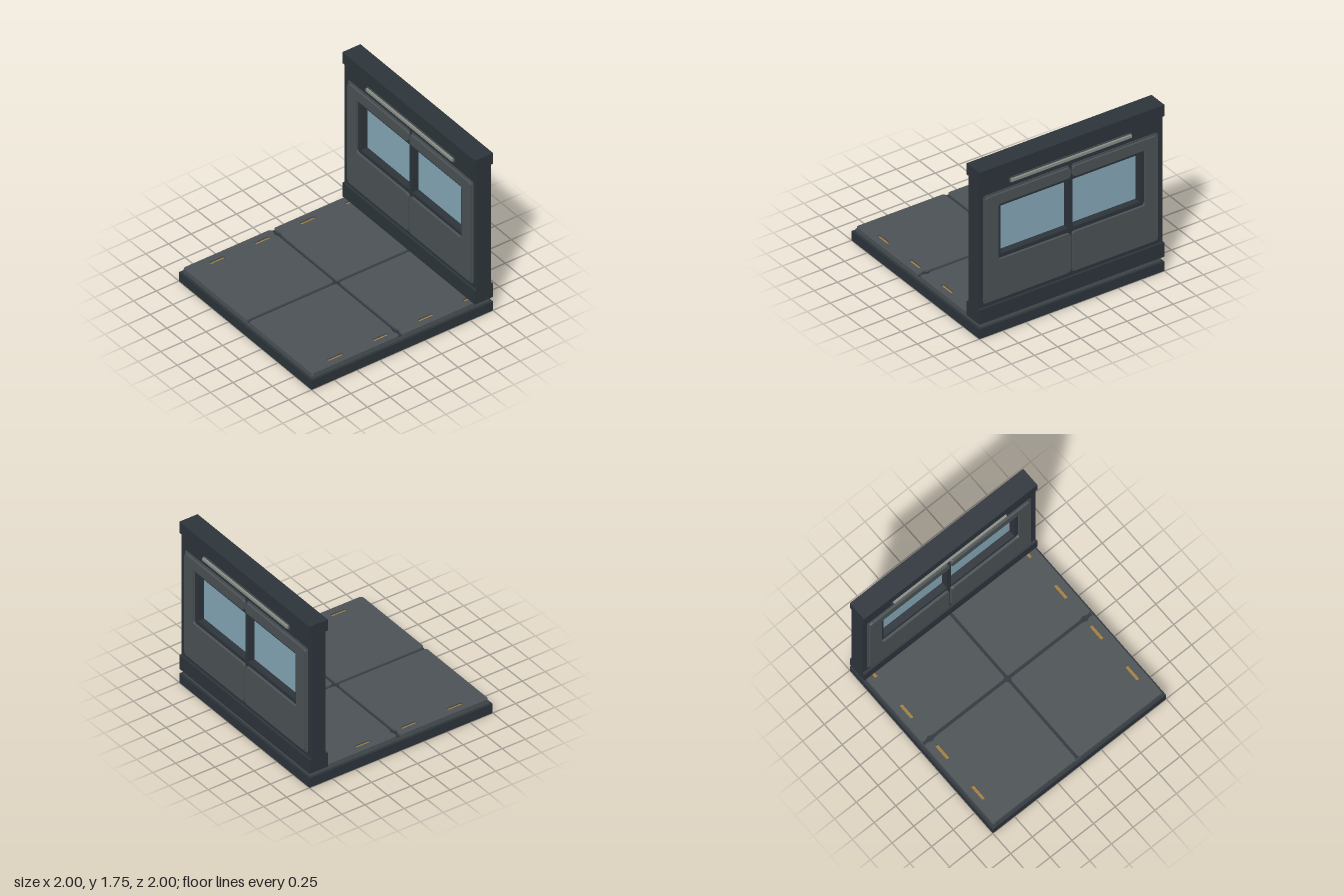
import * as THREE from 'three';

const mat = (name, color) => {
  const m = new THREE.MeshStandardMaterial({ color });
  m.name = name;
  return m;
};

// Rounds every corner of a polygon with radius r
function trace(path, pts, r) {
  const v = pts.map(([x, y]) => new THREE.Vector2(x, y));
  v.forEach((p, i) => {
    const prev = v[(i + v.length - 1) % v.length], next = v[(i + 1) % v.length];
    const toward = (q) => p.clone().add(q.clone().sub(p).setLength(Math.min(r, p.distanceTo(q) * 0.49)));
    const a = toward(prev), b = toward(next);
    if (i === 0) path.moveTo(a.x, a.y); else path.lineTo(a.x, a.y);
    path.quadraticCurveTo(p.x, p.y, b.x, b.y);
  });
  path.closePath();
  return path;
}
const rect = (x0, y0, x1, y1) => [[x0, y0], [x1, y0], [x1, y1], [x0, y1]];
const rounded = (pts, r) => trace(new THREE.Shape(), pts, r);
const extrude = (shape, depth) =>
  new THREE.ExtrudeGeometry(shape, { depth, bevelEnabled: false, curveSegments: 4 });

export function createModel() {
  const dark = mat('dark frame', 0x2d353b);
  const grey = mat('grey panel', 0x4c5356);
  const blue = mat('window glass', 0x87aaba);
  const amber = mat('amber light', 0xa37e3e);
  const pale = mat('pale light bar', 0x8b8f88);

  const model = new THREE.Group();
  const add = (name, geometry, material, parent = model) => {
    const mesh = new THREE.Mesh(geometry, material);
    mesh.name = name;
    parent.add(mesh);
    return mesh;
  };
  const box = (name, material, x0, x1, y0, y1, z0, z1, parent) =>
    add(name, new THREE.BoxGeometry(x1 - x0, y1 - y0, z1 - z0), material, parent)
      .position.set((x0 + x1) / 2, (y0 + y1) / 2, (z0 + z1) / 2);

  // Floor: base, slab and the dark bed seen through the tile gaps
  const floor = new THREE.Group();
  floor.name = 'floor';
  model.add(floor);
  box('floorBase', dark, -1, 1, 0, 0.1, -1, 1, floor);
  box('floorSlab', grey, -0.975, 0.975, 0.1, 0.128, -0.975, 0.975, floor);
  box('grooveBed', dark, -0.968, 0.968, 0.127, 0.132, -0.968, 0.968, floor);

  // Four floor tiles with slots for the recessed lights
  const slotZ = [-0.84, -0.34, 0.16, 0.66];
  for (const s of [-1, 1]) {
    for (const [zIn, zOut] of [[-0.022, -0.975], [0.01, 0.975]]) {
      const d = Math.sign(zOut);
      const outline = [
        [0.015, zIn], [0.86, zIn], [0.89, zIn + d * 0.02], [0.92, zIn],
        [0.975, zIn], [0.975, zOut], [0.015, zOut],
      ].map(([x, z]) => [s * x, -z]);
      const tile = rounded(outline, 0.03);
      for (const z of slotZ.filter((q) => q * d > 0)) {
        const slot = rect(s * 0.89 - 0.016, -z - 0.082, s * 0.89 + 0.016, -z + 0.082);
        tile.holes.push(trace(new THREE.Path(), slot, 0.012));
        box('floorLight', amber, s * 0.89 - 0.017, s * 0.89 + 0.017, 0.13, 0.135, z - 0.083, z + 0.083, floor);
      }
      const mesh = add('floorTile', extrude(tile, 0.021), grey, floor);
      mesh.rotation.x = -Math.PI / 2;
      mesh.position.y = 0.129;
    }
  }

  // Wall core with two window openings
  const wall = new THREE.Group();
  wall.name = 'wall';
  model.add(wall);
  const core = new THREE.Shape(rect(-1, 0.2, 1, 1.7).map(([x, y]) => new THREE.Vector2(x, y)));
  for (const s of [-1, 1]) {
    const opening = rect(s * 0.022, 0.8, s * 0.753, 1.305);
    core.holes.push(new THREE.Path(opening.map(([x, y]) => new THREE.Vector2(x, y))));
    box('windowGlass', blue, s * 0.3875 - 0.37, s * 0.3875 + 0.37, 0.795, 1.31, -0.905, -0.895, wall);
  }
  add('wallCore', extrude(core, 0.15), dark, wall).position.z = -0.975;
  box('skirtingBand', dark, -1, 1, 0.15, 0.3, -1, -0.8, wall);
  box('topBand', dark, -1, 1, 1.63, 1.75, -1, -0.8, wall);

  // C-shaped panel half around the window
  const panel = (s, x, y0, y1) => rounded([
    [0.012, y0], [x, y0], [x, y1], [0.012, y1],
    [0.012, 1.345], [0.795, 1.345], [0.795, 0.76], [0.012, 0.76],
  ].map(([px, py]) => [s * px, py]), 0.03);

  // Panels and light bar on both wall faces
  for (const [name, rimZ, faceZ] of [['front', -0.826, -0.825], ['back', -0.979, -1]]) {
    for (const s of [-1, 1]) {
      add(name + 'PanelRim', extrude(panel(s, 0.945, 0.335, 1.47), 0.005), grey, wall).position.z = rimZ;
      add(name + 'Panel', extrude(panel(s, 0.925, 0.355, 1.45), 0.025), grey, wall).position.z = faceZ;
    }
    const mount = rounded(rect(-0.665, 1.51, 0.665, 1.57), 0.028);
    add(name + 'LightMount', extrude(mount, 0.005), grey, wall).position.z = rimZ;
    box(name + 'LightBar', pale, -0.65, 0.65, 1.528, 1.555, faceZ, faceZ + 0.025, wall);
  }
  return model;
}
